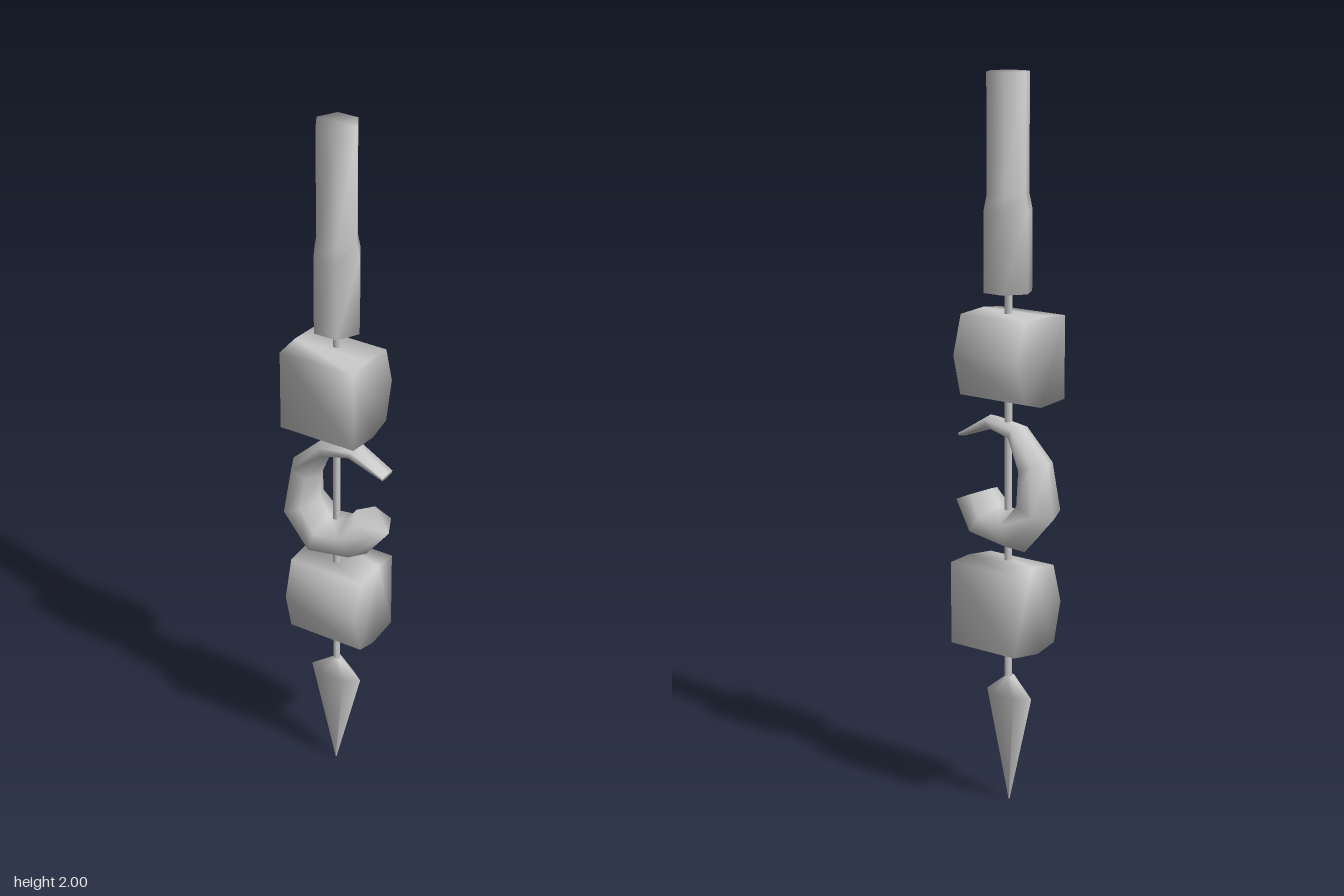
import * as THREE from 'three';

const material = new THREE.MeshStandardMaterial({ color: 0xcccccc });

// Smooth closed skin over rings that run counter-clockwise about the loft direction
function loft(name, rings) {
  const n = rings[0].length, last = (rings.length - 1) * n, index = [];
  for (let i = 0; i < rings.length - 1; i++) {
    for (let j = 0; j < n; j++) {
      const a = i * n + j, b = i * n + (j + 1) % n;
      index.push(a, b, b + n, a, b + n, a + n);
    }
  }
  for (let j = 1; j < n - 1; j++) {
    index.push(0, j + 1, j, last, last + j, last + j + 1);
  }
  const geometry = new THREE.BufferGeometry();
  geometry.setAttribute('position', new THREE.Float32BufferAttribute(rings.flat(2), 3));
  geometry.setIndex(index);
  geometry.computeVertexNormals();
  const mesh = new THREE.Mesh(geometry, material);
  mesh.name = name;
  return mesh;
}

const hexAngles = Array.from({ length: 6 }, (_, k) => (k * Math.PI) / 3);

// Upright six-sided part from [y, x radius, z radius] levels
const hexColumn = (name, levels, cx, cz) => loft(name, levels.map(([y, rx, rz]) =>
  hexAngles.map((a) => [cx + rx * Math.cos(a), y, cz - rz * Math.sin(a)])));

// Chunky bead: one rounded, one flat side, extruded along x
function bead(name, y, mirror) {
  let profile = [[0.115, 0.103], [-0.112, 0.103], [-0.122, 0.005], [-0.104, -0.063],
    [0.006, -0.09], [0.114, -0.06], [0.122, 0.03]];
  if (mirror) profile = profile.map(([py, pz]) => [py, -pz]).reverse();
  return loft(name, [-0.118, 0.108].map((x) => profile.map(([py, pz]) => [x, y + py, pz])));
}

// Crescent hook: hexagonal sections between outer and inner points, with half depth
function hook() {
  const sections = [
    [0.155, 1.024, 0.152, 1.008, 0.025],
    [0.058, 1.08, 0.047, 1.043, 0.03],
    [-0.048, 1.066, -0.027, 1.022, 0.034],
    [-0.143, 0.975, -0.058, 0.943, 0.046],
    [-0.164, 0.823, -0.058, 0.87, 0.06],
    [-0.063, 0.717, -0.027, 0.828, 0.07],
    [0.09, 0.743, 0.027, 0.833, 0.07],
    [0.16, 0.833, 0.058, 0.875, 0.055],
  ];
  return loft('crescentHook', sections.map(([ox, oy, ix, iy, depth]) => hexAngles.map((a) => {
    const t = (1 + Math.cos(a)) / 2;
    return [ix + (ox - ix) * t, iy + (oy - iy) * t, 0.004 - (depth * Math.sin(a)) / 0.866];
  })));
}

export function createModel() {
  const group = new THREE.Group();
  group.name = 'beadedPendant';
  const x = -0.003;

  // Handle stepping to a thicker lower end
  group.add(hexColumn('handle', [
    [1.42, 0.068, 0.068], [1.64, 0.068, 0.068], [1.68, 0.06, 0.06], [2, 0.06, 0.06],
  ], x, 0.005));

  // Cord running through everything
  group.add(hexColumn('cord', [[0.34, 0.011, 0.011], [1.43, 0.011, 0.011]], x - 0.002, 0.004));

  group.add(bead('upperBead', 1.243, false));
  group.add(hook());
  group.add(bead('lowerBead', 0.566, true));

  // Flat pointed dart at the bottom
  group.add(hexColumn('dart', [
    [0, 0.002, 0.002], [0.305, 0.08, 0.034], [0.358, 0.008, 0.018],
  ], x - 0.003, 0.006));

  return group;
}
